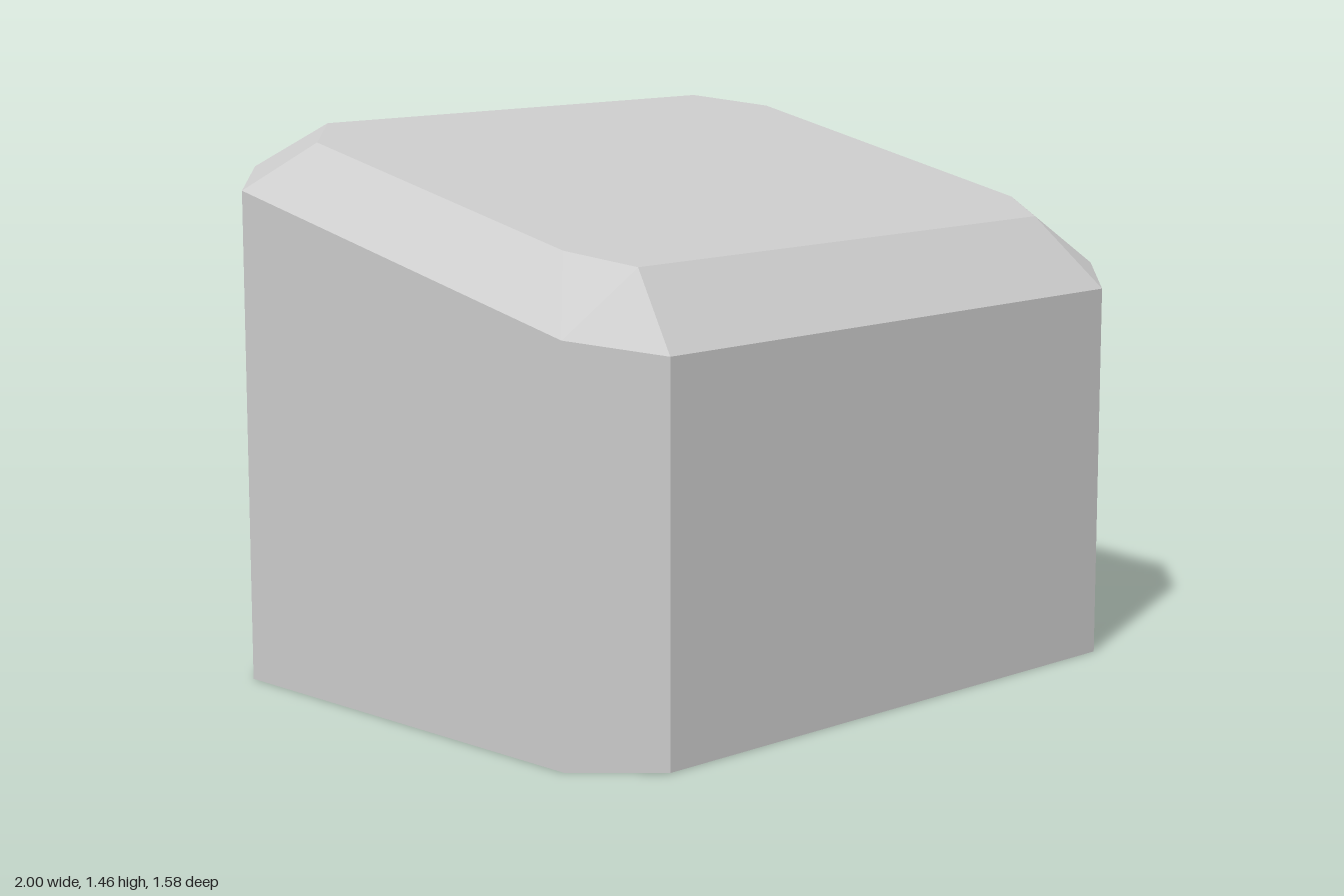
import * as THREE from 'three';

const grey = new THREE.MeshStandardMaterial({ color: 0xcccccc });
grey.name = 'lightGrey';

// Mirrors the four right-hand corners (front to back) into an eight-cornered loop,
// counter-clockwise seen from above; height is a function of z
function makeLoop(right, height) {
  const left = right.map(([x, z]) => [-x, z]).reverse();
  return [...right, ...left].map(([x, z]) => [x, height(z), z]);
}

// Flat-faced mesh from a list of convex polygons
function facetMesh(name, polygons) {
  const positions = [];
  for (const p of polygons) {
    for (let i = 1; i < p.length - 1; i++) positions.push(...p[0], ...p[i], ...p[i + 1]);
  }
  const geometry = new THREE.BufferGeometry();
  geometry.setAttribute('position', new THREE.Float32BufferAttribute(positions, 3));
  geometry.computeVertexNormals();
  const mesh = new THREE.Mesh(geometry, grey);
  mesh.name = name;
  return mesh;
}

// Quads joining a lower loop to an upper loop
function band(lower, upper) {
  return lower.map((a, i) => {
    const j = (i + 1) % lower.length;
    return [a, lower[j], upper[j], upper[i]];
  });
}

export function createModel() {
  const outline = [[0.82, 0.79], [1, 0.61], [1, -0.61], [0.82, -0.79]];
  const topOutline = [[0.75, 0.61], [0.845, 0.45], [0.845, -0.49], [0.69, -0.64]];

  const base = makeLoop(outline, () => 0);
  const rim = makeLoop(outline, (z) => 1.177 - 0.212 * z);
  const top = makeLoop(topOutline, (z) => 1.326 - 0.211 * z);

  const model = new THREE.Group();
  model.name = 'chamferedBlock';
  model.add(
    facetMesh('bodyWalls', band(base, rim)),
    facetMesh('bevel', band(rim, top)),
    facetMesh('slopedTop', [top]),
    facetMesh('underside', [[...base].reverse()])
  );
  return model;
}
